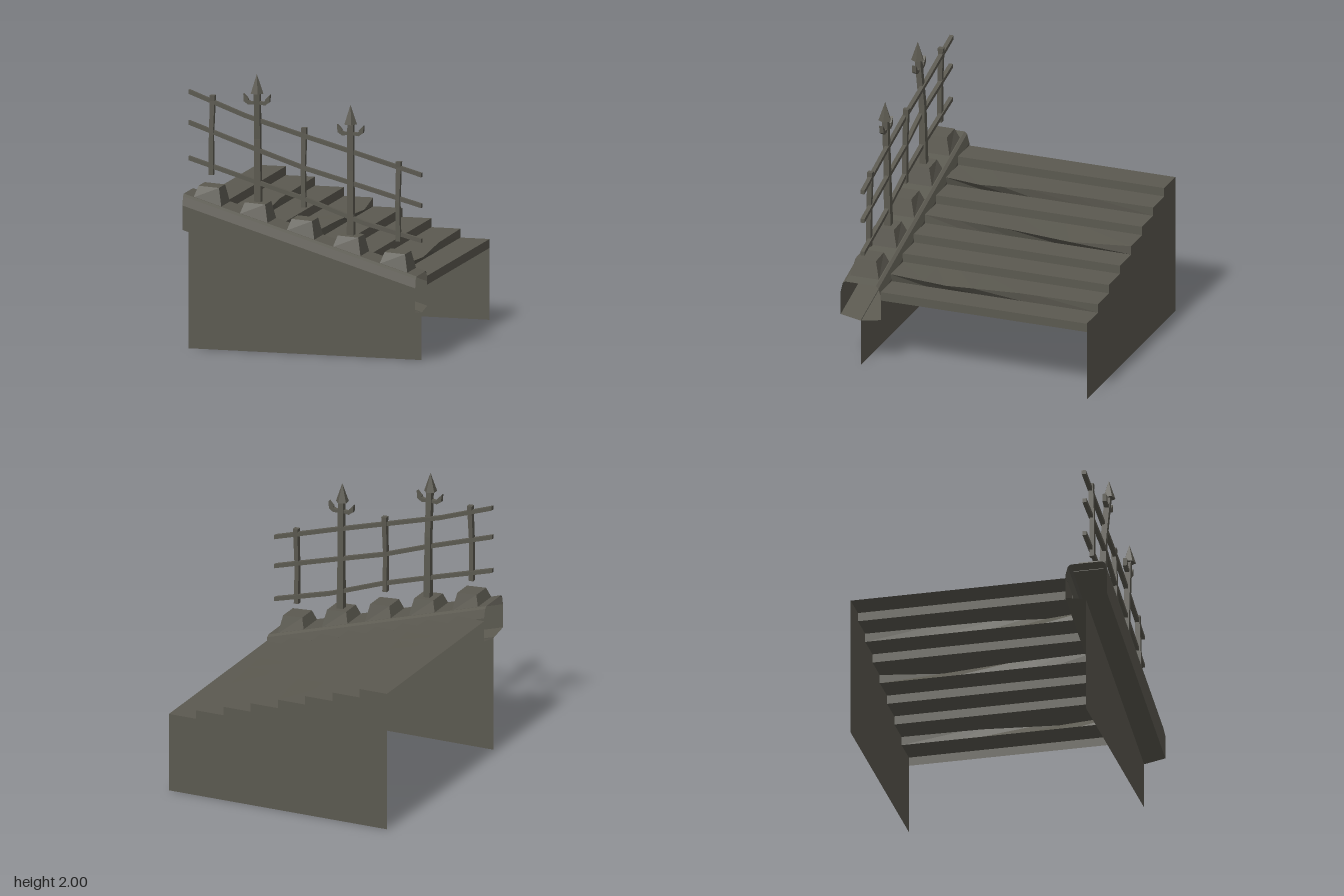
import * as THREE from 'three';

const stone = new THREE.MeshStandardMaterial({ color: 0x5b5950, flatShading: true, side: THREE.DoubleSide });
stone.name = 'dark stone';

const HALF = 0.857, BACK = -0.932, STEP_END = 0.633;
const STEPS = 8, RUN = 2 * HALF / STEPS, RISE = 0.064;
const SLOPE = 0.51 / (2 * HALF);
// height of the trim's top surface at x
const trimTop = x => 1.13 - SLOPE * (x + HALF);
const V = (x, y, z) => new THREE.Vector3(x, y, z);

// Skin between successive rings of points
function loft(rings, closed = true, caps = true) {
  const pos = [];
  const tri = (...pts) => pts.forEach(p => pos.push(p.x, p.y, p.z));
  const n = rings[0].length;
  for (let i = 0; i < rings.length - 1; i++) {
    for (let j = 0; j < (closed ? n : n - 1); j++) {
      const k = (j + 1) % n;
      const [a, b, c, d] = [rings[i][j], rings[i][k], rings[i + 1][k], rings[i + 1][j]];
      tri(a, b, c);
      tri(a, c, d);
    }
  }
  if (closed && caps) {
    const s = rings[0], e = rings[rings.length - 1];
    for (let j = 1; j < n - 1; j++) {
      tri(s[0], s[j + 1], s[j]);
      tri(e[0], e[j], e[j + 1]);
    }
  }
  const g = new THREE.BufferGeometry();
  g.setAttribute('position', new THREE.Float32BufferAttribute(pos, 3));
  g.computeVertexNormals();
  return g;
}

// Rectangular rings for upright parts and for rails running along x
const flatRing = (x, y, z, w, d) => [[1, 1], [1, -1], [-1, -1], [-1, 1]]
  .map(([a, b]) => V(x + a * w / 2, y, z + b * d / 2));
const railRing = (x, y, z, t) => [[1, 1], [-1, 1], [-1, -1], [1, -1]]
  .map(([a, b]) => V(x, y + a * t / 2, z + b * t / 2));

// Worn step noses: step index -> [z, outward shift]
const WEAR = {
  1: [[BACK, 0], [-0.35, 0.01], [0.2, 0.06], [STEP_END, 0.02]],
  4: [[BACK, 0], [-0.49, 0.065], [0, 0.02], [STEP_END, 0]],
  6: [[BACK, 0], [0, 0.01], [0.37, 0.05], [STEP_END, 0.02]],
};
function wear(step, z) {
  const pts = WEAR[step];
  if (!pts) return 0;
  const i = Math.max(1, pts.findIndex(p => p[0] >= z));
  const [a, b] = [pts[i - 1], pts[i]];
  return a[1] + (b[1] - a[1]) * (z - a[0]) / (b[0] - a[0]);
}
function stairProfile(z) {
  const pts = [];
  for (let i = 0; i < STEPS; i++) {
    const x = HALF - RUN * i, y = 0.58 + RISE * i, out = wear(i, z);
    pts.push(V(x, y - RISE, z), V(x + out, y - out * 0.15, z));
  }
  pts.push(V(-HALF, 0.58 + RISE * (STEPS - 1), z));
  return pts;
}

export function createModel() {
  const model = new THREE.Group();
  model.name = 'staircase';
  const add = (name, geometry, parent = model) => {
    const m = new THREE.Mesh(geometry, stone);
    m.name = name;
    parent.add(m);
    return m;
  };

  // Treads and risers as one folded sheet
  const zs = [BACK, -0.49, -0.35, 0, 0.2, 0.37, STEP_END];
  add('steps', loft(zs.map(stairProfile), false));

  // Back wall follows the steps
  const outline = [...stairProfile(BACK).map(p => new THREE.Vector2(p.x, p.y)),
    new THREE.Vector2(-HALF, 0), new THREE.Vector2(HALF, 0)];
  const backWall = new THREE.ShapeGeometry(new THREE.Shape(outline.map(p => new THREE.Vector2(-p.x, p.y))));
  backWall.rotateY(Math.PI);
  add('backWall', backWall).position.z = BACK;

  // Front wall tucked under the trim
  const frontWall = new THREE.Shape([[-HALF, 0], [HALF, 0], [HALF, 0.345], [-HALF, 0.855]]
    .map(p => new THREE.Vector2(...p)));
  add('frontWall', new THREE.ShapeGeometry(frontWall)).position.z = 0.78;

  // Sloping trim: bevelled top, shallow V underneath, open ends; [z, y below top]
  const section = [[0.668, 0], [0.9, 0], [0.92, -0.015], [0.935, -0.08], [0.935, -0.255],
    [0.783, -0.283], [0.631, -0.255], [0.631, -0.08], [0.648, -0.015]];
  add('trim', loft([-HALF, HALF].map(x => section.map(([z, y]) => V(x, trimTop(x) + y, z))), true, false));

  // Tapered blocks along the trim
  [-0.685, -0.345, 0, 0.34, 0.685].forEach((x, i) => {
    const top = 1.18 - 0.102 * i;
    const base = flatRing(x, 0, 0.783, 0.205, 0.22);
    base.forEach(p => { p.y = trimTop(p.x) - 0.005; });
    const cap = flatRing(x, top, 0.783, 0.15, 0.155);
    cap.forEach(p => { p.y -= (p.x - x) * 0.06; });
    add('block', loft([base, cap]));
  });

  // Rails, slightly crooked
  const rails = [
    [[-HALF, 1.84, 0.765], [-0.44, 1.69, 0.78], [0, 1.565, 0.785], [0.4, 1.455, 0.78], [HALF, 1.325, 0.77]],
    [[-HALF, 1.62, 0.77], [-0.34, 1.45, 0.795], [0, 1.335, 0.785], [0.34, 1.245, 0.78], [HALF, 1.105, 0.77]],
    [[-HALF, 1.365, 0.77], [-0.34, 1.215, 0.785], [0.02, 1.11, 0.785], [0.43, 0.965, 0.78], [HALF, 0.855, 0.77]],
  ];
  rails.forEach(pts => add('rail', loft(pts.map(p => railRing(...p, 0.03)))));

  // Short posts
  [[-0.683, 1.255, 0.003], [-0.006, 1.055, 0], [0.69, 0.845, 0]].forEach(([x, y, lean]) => {
    add('shortPost', loft([
      flatRing(x - lean, y, 0.785, 0.034, 0.036),
      flatRing(x - 0.004, y + 0.28, 0.785, 0.03, 0.034),
      flatRing(x + lean, y + 0.53, 0.775, 0.034, 0.036),
      flatRing(x + lean, y + 0.57, 0.775, 0.038, 0.04),
    ]));
  });

  // Tall posts with spearhead and side hooks
  const hook = new THREE.Shape();
  hook.moveTo(0.015, -0.02);
  [[0.045, -0.025], [0.065, -0.015], [0.062, -0.008], [0.098, 0.03], [0.094, -0.025], [0.06, -0.048], [0.015, -0.042]]
    .reverse().forEach(p => hook.lineTo(...p));
  hook.closePath();
  const hookGeometry = new THREE.ExtrudeGeometry(hook, { depth: 0.03, bevelEnabled: false });
  hookGeometry.translate(0, 0, -0.015);

  [[-0.343, 1.06, 2.0, 0.82], [0.341, 0.86, 1.81, 0.8]].forEach(([x, bottom, tip, zTop]) => {
    const spear = new THREE.Group();
    spear.name = 'spearPost';
    model.add(spear);
    const mid = (bottom + tip) / 2;
    add('shaft', loft([
      flatRing(x - 0.003, bottom, 0.775, 0.05, 0.05),
      flatRing(x - 0.002, mid, 0.785, 0.042, 0.042),
      flatRing(x + 0.002, tip - 0.13, zTop - 0.005, 0.042, 0.042),
    ]), spear);
    const head = add('spearhead', new THREE.ConeGeometry(0.048, 0.14, 5), spear);
    head.position.set(x, tip - 0.07, zTop);
    head.rotation.y = 0.4;
    for (const side of [0, Math.PI]) {
      const h = add('hook', hookGeometry, spear);
      h.position.set(x, tip - 0.175, zTop - 0.008);
      h.rotation.y = side;
    }
  });

  return model;
}
